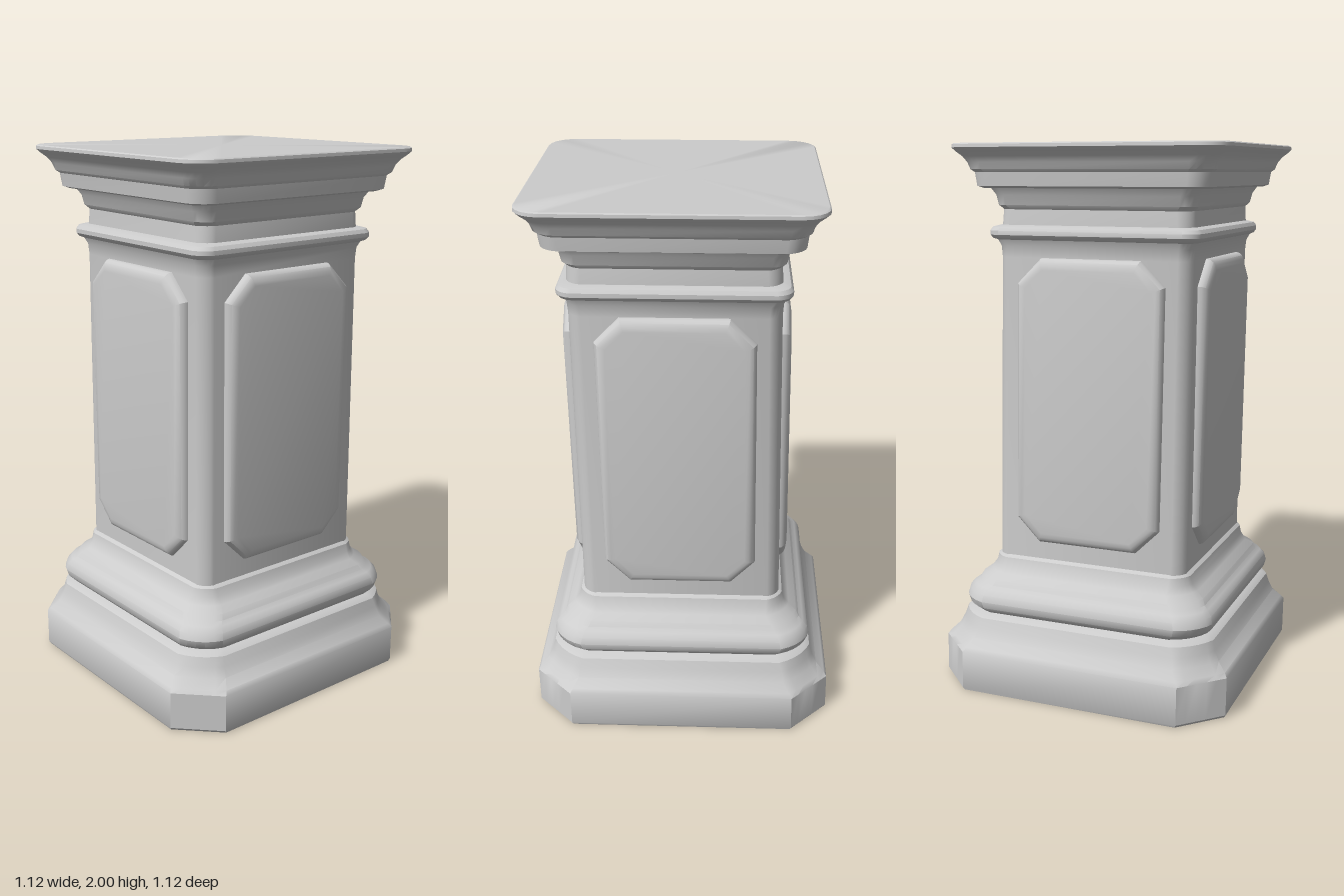
import * as THREE from 'three';
import { toCreasedNormals } from 'three/addons/utils/BufferGeometryUtils.js';

const CORNER_STEPS = 5;

// Outline of a square with cut (round = 0) or rounded (round = 1) corners
function ring(half, cut, round) {
  const points = [];
  for (let side = 0; side < 4; side++) {
    const turn = side * Math.PI / 2, c = Math.cos(turn), s = Math.sin(turn);
    for (let i = 0; i <= CORNER_STEPS; i++) {
      const t = i / CORNER_STEPS, a = t * Math.PI / 2;
      const u = half - cut + cut * THREE.MathUtils.lerp(1 - t, Math.cos(a), round);
      const v = half - cut + cut * THREE.MathUtils.lerp(t, Math.sin(a), round);
      points.push([u * c - v * s, u * s + v * c]);
    }
  }
  return points;
}

// The pedestal leans slightly as it rises
function lean(geometry) {
  const p = geometry.attributes.position;
  for (let i = 0; i < p.count; i++) {
    const y = p.getY(i);
    p.setX(i, p.getX(i) - 0.01 * y);
    p.setZ(i, p.getZ(i) + 0.0175 * y);
  }
  return geometry;
}

// Skin through rows of [y, half width, corner cut, corner roundness]
function loft(rows) {
  const n = 4 * (CORNER_STEPS + 1), positions = [], index = [];
  for (const [y, half, cut, round] of rows) {
    for (const [x, z] of ring(half, cut, round)) positions.push(x, y, z);
  }
  for (let r = 0; r < rows.length - 1; r++) {
    for (let j = 0; j < n; j++) {
      const a = r * n + j, b = r * n + (j + 1) % n;
      index.push(a, a + n, b, b, a + n, b + n);
    }
  }
  const last = (rows.length - 1) * n, bottom = positions.length / 3;
  positions.push(0, rows[0][0], 0, 0, rows[rows.length - 1][0], 0);
  for (let j = 0; j < n; j++) {
    const k = (j + 1) % n;
    index.push(bottom, j, k, bottom + 1, last + k, last + j);
  }
  const geometry = new THREE.BufferGeometry();
  geometry.setAttribute('position', new THREE.Float32BufferAttribute(positions, 3));
  geometry.setIndex(index);
  return toCreasedNormals(lean(geometry), 0.6);
}

// Raised panel with clipped corners and a soft bevel
function panelGeometry(turn) {
  const w = 0.28, low = 0.55, high = 1.6, c = 0.09;
  const shape = new THREE.Shape([
    [w - c, low], [w, low + c], [w, high - c], [w - c, high],
    [c - w, high], [-w, high - c], [-w, low + c], [c - w, low],
  ].map(([x, y]) => new THREE.Vector2(x, y)));
  const geometry = new THREE.ExtrudeGeometry(shape, {
    depth: 0.02, bevelThickness: 0.034, bevelSize: 0.04, bevelOffset: -0.04, bevelSegments: 4,
  });
  geometry.translate(0, 0, 0.349).rotateY(turn);
  return toCreasedNormals(lean(geometry), 0.6);
}

export function createModel() {
  const group = new THREE.Group();
  const stone = new THREE.MeshStandardMaterial({ color: 0xcccccc });
  stone.name = 'pale stone';
  const add = (name, geometry) => {
    const mesh = new THREE.Mesh(geometry, stone);
    mesh.name = name;
    group.add(mesh);
  };

  // Block with clipped corners and a sloping shoulder
  add('plinth', loft([
    [0, 0.555, 0.14, 0], [0.01, 0.56, 0.14, 0], [0.15, 0.56, 0.14, 0], [0.165, 0.55, 0.14, 0.1],
    [0.195, 0.52, 0.13, 0.3], [0.23, 0.503, 0.12, 0.4], [0.265, 0.493, 0.12, 0.5], [0.28, 0.47, 0.11, 0.5],
  ]));

  // Rounded roll and the hollow curve above it
  add('baseMoulding', loft([
    [0.27, 0.455, 0.11, 0.6], [0.285, 0.468, 0.11, 0.6], [0.3, 0.482, 0.11, 0.6], [0.325, 0.488, 0.11, 0.6],
    [0.35, 0.482, 0.11, 0.6], [0.37, 0.465, 0.1, 0.6], [0.38, 0.45, 0.1, 0.6], [0.4, 0.44, 0.1, 0.6],
    [0.42, 0.412, 0.09, 0.6], [0.445, 0.393, 0.07, 0.6], [0.475, 0.385, 0.06, 0.6], [0.485, 0.371, 0.05, 0.6],
  ]));

  add('shaft', loft([
    [0.47, 0.372, 0.045, 0.6], [1.6, 0.367, 0.045, 0.6], [1.64, 0.37, 0.045, 0.6], [1.67, 0.385, 0.05, 0.6],
  ]));

  ['frontPanel', 'leftPanel', 'backPanel', 'rightPanel'].forEach((name, i) => {
    add(name, panelGeometry(i * Math.PI / 2));
  });

  add('neckRing', loft([
    [1.66, 0.375, 0.05, 0.8], [1.668, 0.393, 0.05, 0.8], [1.68, 0.402, 0.055, 0.8],
    [1.695, 0.402, 0.055, 0.8], [1.708, 0.393, 0.05, 0.8], [1.715, 0.37, 0.05, 0.8],
  ]));

  add('neck', loft([
    [1.7, 0.368, 0.05, 0.7], [1.77, 0.364, 0.05, 0.7], [1.785, 0.378, 0.05, 0.7],
    [1.82, 0.386, 0.055, 0.7], [1.85, 0.405, 0.06, 0.7],
  ]));

  // Stepped cornice flaring to the flat top
  add('cornice', loft([
    [1.845, 0.42, 0.06, 0.8], [1.852, 0.44, 0.07, 0.8], [1.9, 0.446, 0.07, 0.8], [1.91, 0.458, 0.075, 0.9],
    [1.935, 0.466, 0.08, 1], [1.955, 0.48, 0.085, 1], [1.972, 0.5, 0.095, 1],
    [1.985, 0.512, 0.1, 1], [1.996, 0.511, 0.1, 1], [2, 0.506, 0.1, 1],
  ]));

  return group;
}
